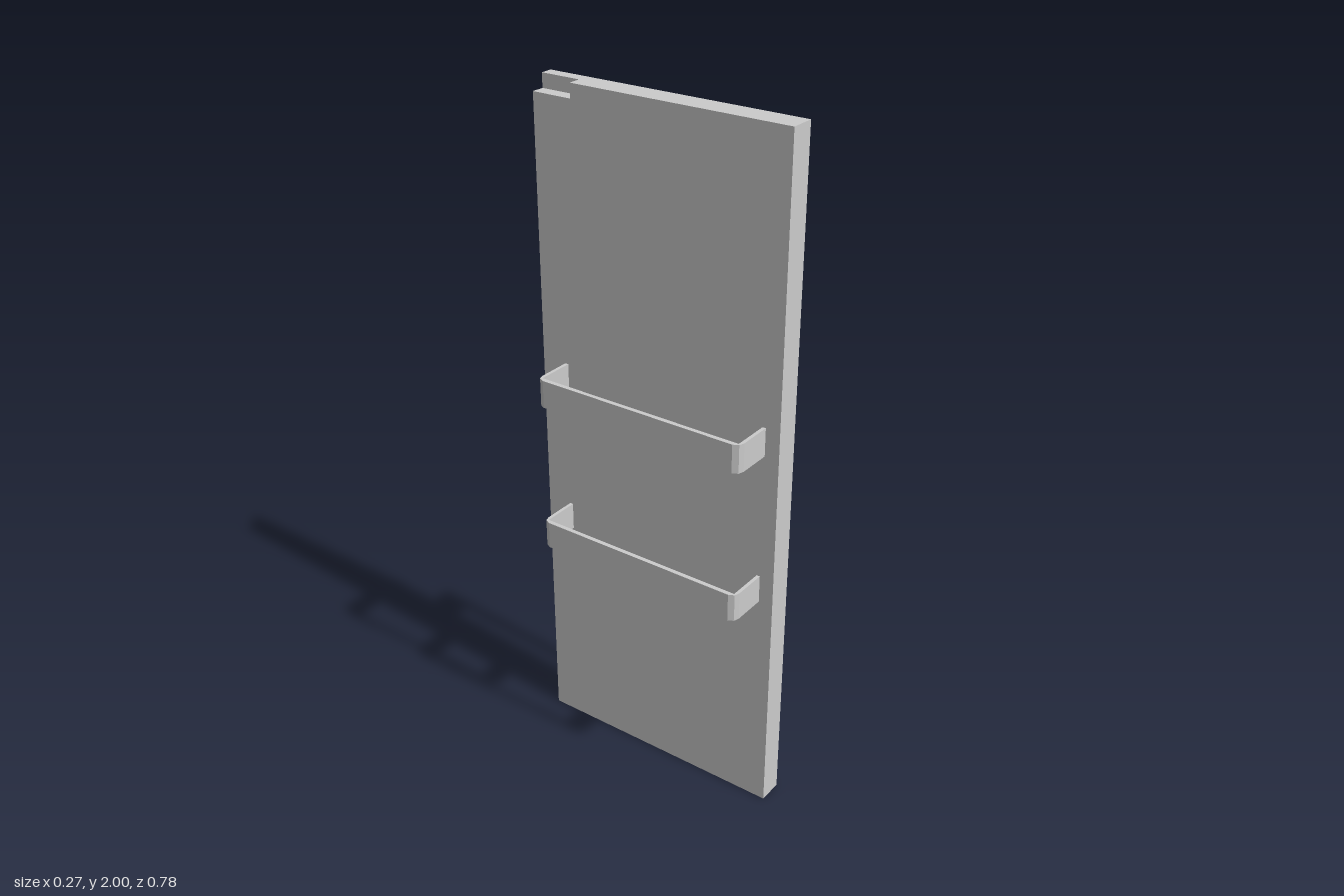
import * as THREE from 'three';

const material = new THREE.MeshStandardMaterial({ color: 0xcccccc, flatShading: true });

const polygon = (points) => new THREE.Shape(points.map(([a, b]) => new THREE.Vector2(a, b)));

// Extrude an outline drawn in (x, z) upwards from y0 to y1
function extrudeUp(points, y0, y1) {
  const shape = polygon(points.map(([x, z]) => [x, -z]));
  const geometry = new THREE.ExtrudeGeometry(shape, { depth: y1 - y0, bevelEnabled: false });
  return geometry.rotateX(-Math.PI / 2).translate(0, y0, 0);
}

function addPart(group, name, geometry) {
  const mesh = new THREE.Mesh(geometry, material);
  mesh.name = name;
  group.add(mesh);
  return mesh;
}

export function createModel() {
  const model = new THREE.Group();
  model.name = 'door';
  const back = -0.013, front = 0.06, halfWidth = 0.388;

  // Door slab, with a shallow notch in one top corner
  const notchY = 1.96, notchX = 0.025, notchZ = -0.266;
  const slab = new THREE.Group();
  slab.name = 'doorSlab';
  addPart(slab, 'slabBody', extrudeUp([
    [back, -halfWidth], [front, -halfWidth], [front, halfWidth], [back, halfWidth],
  ], 0, notchY));
  addPart(slab, 'slabNotchedTop', extrudeUp([
    [notchX, -halfWidth], [front, -halfWidth], [front, halfWidth],
    [back, halfWidth], [back, notchZ], [notchX, notchZ],
  ], notchY, 2));
  model.add(slab);

  // Two horizontal U-shaped rails with softened outer corners
  const outer = -0.136, inner = -0.123, z0 = -0.311, z1 = 0.345, wall = 0.01;
  const railOutline = [
    [back, z0], [-0.112, z0], [-0.128, z0 + 0.005], [outer, z0 + 0.021],
    [outer, z1 - 0.021], [-0.128, z1 - 0.005], [-0.112, z1], [back, z1],
    [back, z1 - wall], [inner, z1 - wall], [inner, z0 + wall], [back, z0 + wall],
  ];
  for (const [name, y] of [['lowerRail', 0.683], ['upperRail', 1.134]]) {
    addPart(model, name, extrudeUp(railOutline, y, y + 0.082));
  }

  // Vertical pull handle with a foot at each end and small bevels
  const grip = 0.134, bevel = 0.004;
  const handleShape = polygon([
    [front - bevel, 0.69], [grip, 0.69], [grip, 1.693], [front - bevel, 1.693],
    [front - bevel, 1.572], [0.106, 1.572], [0.106, 0.811], [front - bevel, 0.811],
  ]);
  const handle = new THREE.ExtrudeGeometry(handleShape, {
    depth: 0.028 - 2 * bevel, bevelThickness: bevel, bevelSize: bevel,
    bevelOffset: -bevel, bevelSegments: 2,
  });
  addPart(model, 'pullHandle', handle.translate(0, 0, 0.31 + bevel));

  return model;
}
